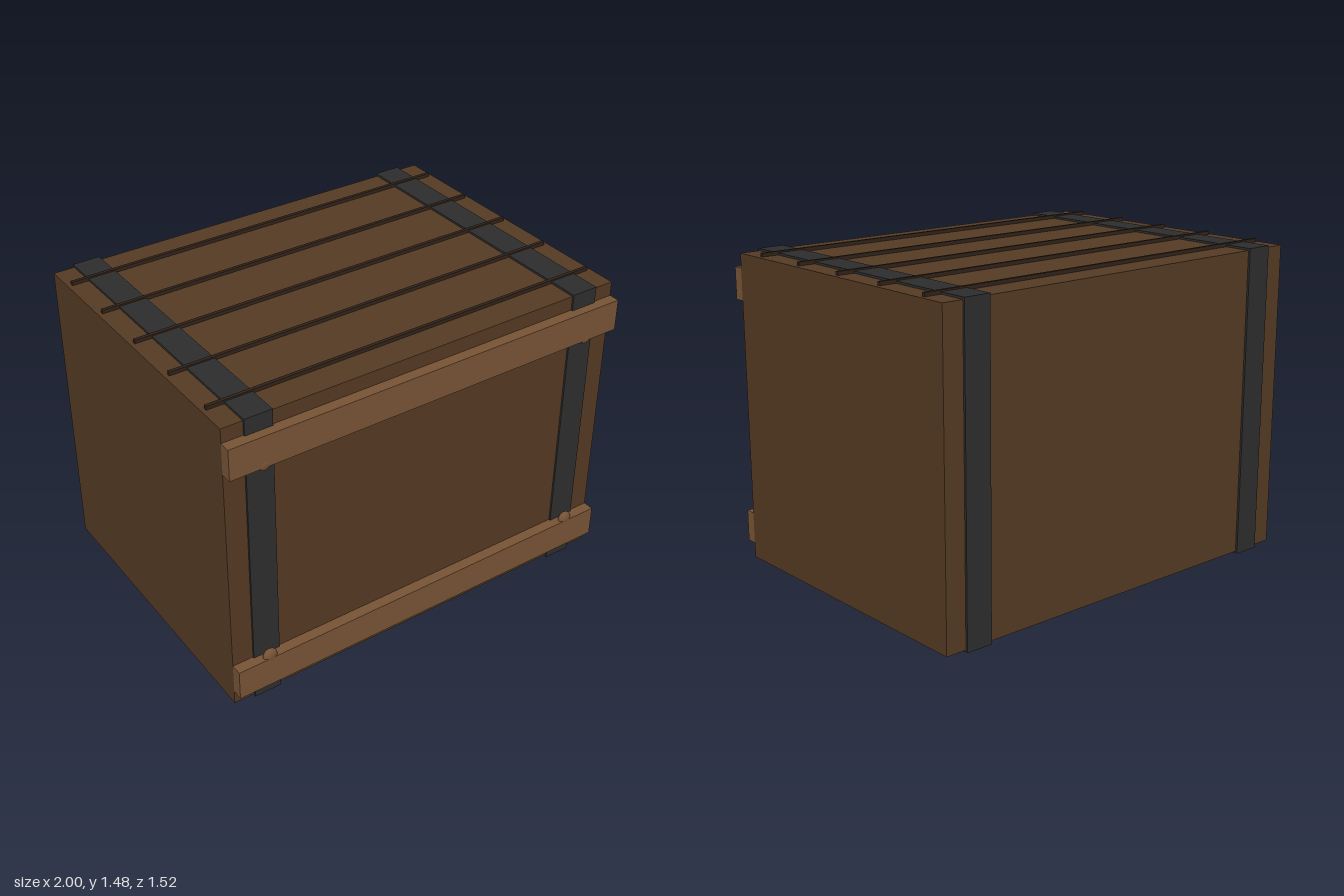
import * as THREE from 'three';

const paint = (name, color) => {
  const m = new THREE.MeshStandardMaterial({ color });
  m.name = name;
  return m;
};

export function createModel() {
  const crate = new THREE.Group();
  crate.name = 'crate';
  const darkWood = paint('dark wood', 0x553a23);
  const lightWood = paint('light wood', 0x775335);
  const iron = paint('dark iron', 0x2d2d2e);
  const seam = paint('seam brown', 0x31231a);

  // Box given by its low and high corners
  const box = (name, material, [x0, y0, z0], [x1, y1, z1]) => {
    const mesh = new THREE.Mesh(new THREE.BoxGeometry(x1 - x0, y1 - y0, z1 - z0), material);
    mesh.position.set((x0 + x1) / 2, (y0 + y1) / 2, (z0 + z1) / 2);
    mesh.name = name;
    crate.add(mesh);
  };

  box('body', darkWood, [-1, 0.01, -0.747], [1, 1.465, 0.705]);

  // Raised seams across the lid
  for (let i = 0; i < 5; i++) {
    const z = -0.607 + i * 0.2915;
    box('lidSeam', seam, [-0.98, 1.464, z - 0.008], [0.98, 1.482, z + 0.008]);
  }

  // Iron bands wrapping all the way round, one near each end
  for (const side of [-1, 1]) {
    const x = side * 0.835;
    box('strap', iron, [x - 0.065, 0, -0.757], [x + 0.065, 1.475, 0.714]);
  }

  // Front planks with a rounded peg at each strap
  for (const [y, pegY] of [[0.08, 0.235], [1.247, 1.259]]) {
    box('frontPlank', lightWood, [-1, y, 0.705], [1, y + 0.15, 0.757]);
    for (const side of [-1, 1]) {
      const peg = new THREE.Mesh(new THREE.SphereGeometry(0.035, 16, 12), lightWood);
      peg.scale.z = 0.55;
      peg.position.set(side * 0.835, pegY, 0.74);
      peg.name = 'peg';
      crate.add(peg);
    }
  }
  return crate;
}
